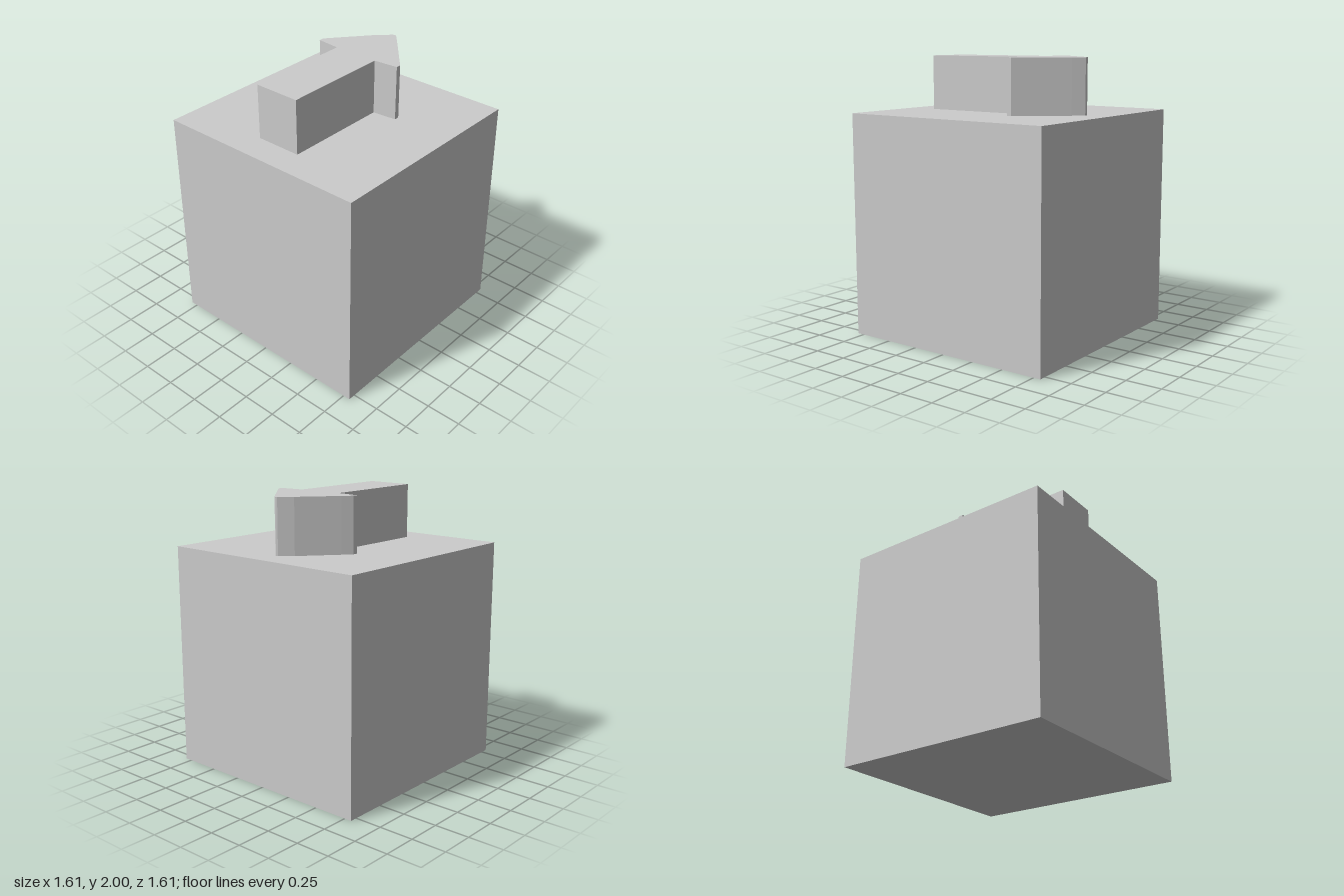
import * as THREE from 'three';

const BODY = 1.606; // cube edge length
const TOP = 2;

// Arrow outline seen from above, as [x, z]
const OUTLINE = [
  [-0.172, 0.593], [0.168, 0.593], [0.168, -0.19], [0.345, -0.207], [0.345, -0.243],
  [0.075, -0.555], [0.012, -0.625], [0, -0.63], [-0.012, -0.625],
  [-0.095, -0.55], [-0.297, -0.307], [-0.348, -0.243], [-0.348, -0.207], [-0.172, -0.19],
];

export function createModel() {
  const group = new THREE.Group();
  const material = new THREE.MeshStandardMaterial({ color: 0xcccccc, flatShading: true });

  // Cube body
  const body = new THREE.Mesh(new THREE.BoxGeometry(BODY, BODY, BODY), material);
  body.name = 'body';
  body.position.y = BODY / 2;
  group.add(body);

  // Raised arrow on top, pointing to the back
  const shape = new THREE.Shape(OUTLINE.map(([x, z]) => new THREE.Vector2(x, -z)));
  const geometry = new THREE.ExtrudeGeometry(shape, { depth: TOP - BODY, bevelEnabled: false });
  geometry.rotateX(-Math.PI / 2);
  const arrow = new THREE.Mesh(geometry, material);
  arrow.name = 'arrow';
  arrow.position.y = BODY;
  group.add(arrow);

  return group;
}
